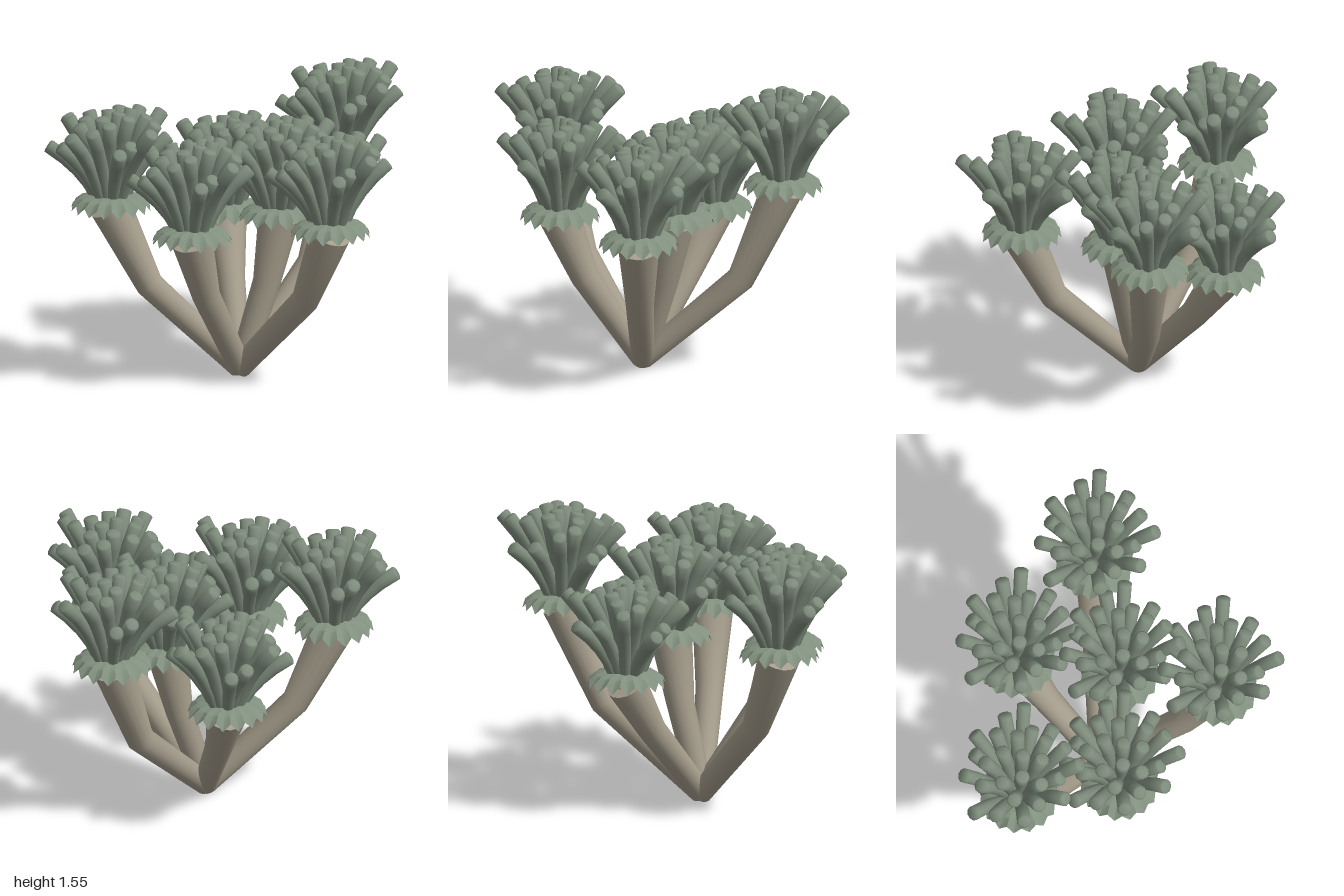
import * as THREE from 'three';
import { mergeGeometries, toCreasedNormals } from 'three/addons/utils/BufferGeometryUtils.js';

const stalkMat = new THREE.MeshStandardMaterial({ color: 0xa59d8c });
const polypMat = new THREE.MeshStandardMaterial({ color: 0x7d8b7b });
const collarMat = new THREE.MeshStandardMaterial({ color: 0x82917f, side: THREE.DoubleSide });

// Each polyp: head centre x, z, collar height, then bend of its stalk (share of reach, height)
const polyps = [
  [-0.65, -0.10, 1.00, 0.70, 0.50],
  [-0.30, 0.31, 0.91, 0.70, 0.50],
  [0.40, 0.51, 0.96, 0.72, 0.49],
  [0.23, 0.01, 0.92, 0.69, 0.50],
  [0.65, -0.38, 1.10, 0.70, 0.51],
  [0.06, -0.52, 0.81, 0.64, 0.44],
];
const ROOT = { x: 0.02, z: 0.015 };
const GOLDEN_ANGLE = Math.PI * (3 - Math.sqrt(5));

// Triangle grid between rings of equal vertex count
function skin(rings) {
  const n = rings[0].length, index = [];
  for (let i = 0; i < rings.length - 1; i++) {
    for (let j = 0; j < n; j++) {
      const a = i * n + j, b = i * n + (j + 1) % n;
      index.push(a, b, a + n, b, b + n, a + n);
    }
  }
  const g = new THREE.BufferGeometry();
  g.setAttribute('position', new THREE.Float32BufferAttribute(rings.flat(2), 3));
  g.setIndex(index);
  return g;
}

// Capped, tapering limb along a path [r, y] in a vertical plane, turned to a heading
function limb(path, radii, sides, heading, crease) {
  const rings = path.map(([px, py], i) => {
    const a = path[Math.max(i - 1, 0)], b = path[Math.min(i + 1, path.length - 1)];
    const t = new THREE.Vector2(b[0] - a[0], b[1] - a[1]).normalize();
    return Array.from({ length: sides }, (_, j) => {
      const u = (j / sides) * Math.PI * 2, c = Math.cos(u) * radii[i];
      return [px + t.y * c, py - t.x * c, -Math.sin(u) * radii[i]];
    });
  });
  const cap = ([x, y]) => Array.from({ length: sides }, () => [x, y, 0]);
  rings.unshift(cap(path[0]));
  rings.push(cap(path[path.length - 1]));
  return toCreasedNormals(skin(rings).rotateY(heading), crease);
}

// Tentacle rising from the disc, bending outward and ending in a blunt tip
function tentacle(base, tip, heading) {
  const curve = new THREE.QuadraticBezierCurve(
    new THREE.Vector2(base, -0.02),
    new THREE.Vector2(tip[0] * 0.45, tip[1] * 0.53),
    new THREE.Vector2(...tip));
  const path = curve.getPoints(4).map((p) => [p.x, p.y]);
  const radii = path.map((_, i) => 0.031 + 0.002 * i);
  const end = curve.getTangent(1);
  path.push([tip[0] + end.x * 0.007, tip[1] + end.y * 0.007]);
  radii.push(0.03);
  return limb(path, radii, 10, heading, 1.3);
}

// Crown: tentacles in a spiral, tall ones inside and every other outer one low
function crown() {
  const count = 27;
  return mergeGeometries(Array.from({ length: count }, (_, i) => {
    const f = Math.sqrt((i + 0.3) / count), heading = -i * GOLDEN_ANGLE;
    const drop = i > 9 && i % 2 ? 0.1 : 0;
    const height = 0.43 - 0.06 * f * f - drop + 0.025 * f * Math.cos(heading);
    return tentacle(0.08 * f, [0.33 * f + 0.008, height], heading);
  }));
}

// Drooping collar with a ruffled, toothed edge
function collar() {
  const n = 32;
  const ring = (r, y, pointR = r, pointY = y) => Array.from({ length: n }, (_, j) => {
    const u = (j / n) * Math.PI * 2, point = j % 2 === 0, radius = point ? pointR : r;
    return [radius * Math.cos(u), point ? pointY : y, radius * Math.sin(u)];
  });
  return toCreasedNormals(skin([
    ring(0.2, -0.045, 0.212, -0.085), ring(0.16, -0.014, 0.16, -0.024), ring(0.1, 0), ring(0, 0),
  ]), 0.4);
}

export function createModel() {
  const model = new THREE.Group();
  model.name = 'branchingPolyps';
  const add = (parent, geometry, material, name) => {
    const mesh = new THREE.Mesh(geometry, material);
    mesh.name = name;
    parent.add(mesh);
    return mesh;
  };
  const collarGeometry = collar();
  const crownGeometry = crown();
  const neckGeometry = new THREE.CylinderGeometry(0.105, 0.1, 0.08, 20);

  for (const [x, z, y, bendShare, bendY] of polyps) {
    const polyp = new THREE.Group();
    polyp.name = 'polyp';
    model.add(polyp);

    // Bent stalk, widening from the shared root
    const dx = x - ROOT.x, dz = z - ROOT.z, reach = Math.hypot(dx, dz);
    const stalk = add(polyp, limb(
      [[0, 0.043], [reach * bendShare, bendY], [reach, y - 0.075]],
      [0.06, 0.074, 0.11], 16, Math.atan2(-dz, dx), 0.9), stalkMat, 'stalk');
    stalk.position.set(ROOT.x, 0, ROOT.z);

    // Head sits level on the stalk
    const head = new THREE.Group();
    head.name = 'head';
    head.position.set(x, y, z);
    polyp.add(head);
    add(head, neckGeometry, stalkMat, 'neck').position.y = -0.042;
    add(head, collarGeometry, collarMat, 'collar');
    add(head, crownGeometry, polypMat, 'tentacles');
  }
  return model;
}
